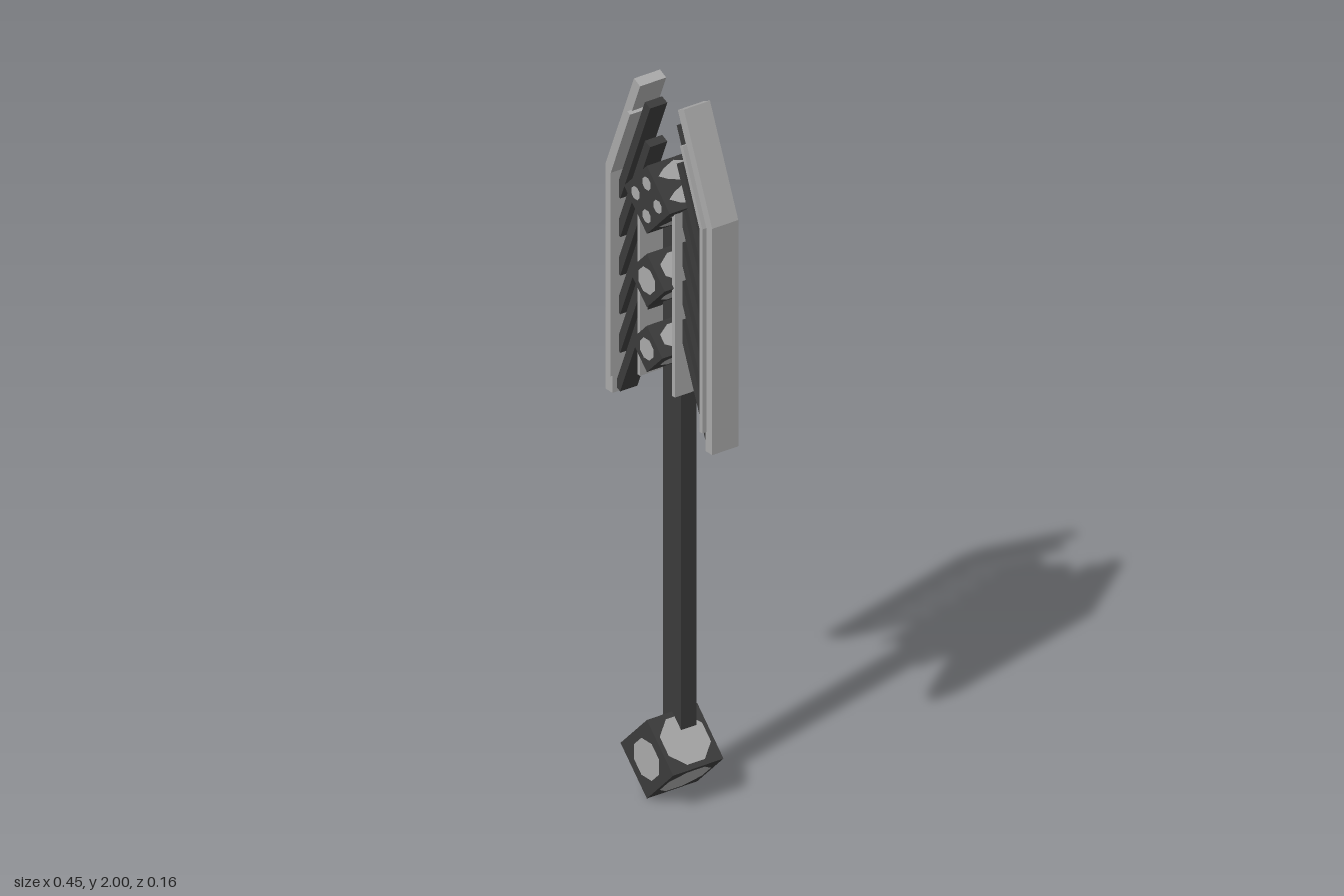
import * as THREE from 'three';

const dark = new THREE.MeshStandardMaterial({ color: 0x3b3b3b });
dark.name = 'dark metal';
const light = new THREE.MeshStandardMaterial({ color: 0xa9a9a9 });
light.name = 'light metal';

const DEPTH = 0.158; // front-to-back size of every block

function add(parent, name, geometry, material, x = 0, y = 0, z = 0) {
  const mesh = new THREE.Mesh(geometry, material);
  mesh.name = name;
  mesh.position.set(x, y, z);
  parent.add(mesh);
  return mesh;
}

// Closed outline extruded symmetrically about z = 0; side mirrors it in x
function extruded(points, depth, side) {
  const shape = new THREE.Shape(points.map(([x, y]) => new THREE.Vector2(x * side, y)));
  const geometry = new THREE.ExtrudeGeometry(shape, { depth, bevelEnabled: false });
  return geometry.translate(0, 0, -depth / 2);
}

// Flat octagonal inlay facing +z, stretched to rx by ry
function inlay(rx, ry) {
  return new THREE.CircleGeometry(1, 8, Math.PI / 8).scale(rx, ry, 1);
}

// Pointed lens-shaped inlay facing +z, long in y
function lens(w, h) {
  const outline = [[0, -h], [w * 0.55, -h * 0.6], [w, 0], [w * 0.55, h * 0.6],
    [0, h], [-w * 0.55, h * 0.6], [-w, 0], [-w * 0.55, -h * 0.6]];
  return new THREE.ShapeGeometry(new THREE.Shape(outline.map(([x, y]) => new THREE.Vector2(x, y))));
}

// Block standing on its edge, with inlays on all six faces
function diamondBlock(name, y, halfDiagonal, frontInlays, sideInlays) {
  const block = new THREE.Group();
  block.name = name;
  block.position.y = y;
  block.rotation.z = Math.PI / 4;
  const size = halfDiagonal * Math.SQRT2;
  add(block, name + 'Body', new THREE.BoxGeometry(size, size, DEPTH), dark);
  // front and back
  for (let i = 0; i < 2; i++) {
    const face = new THREE.Group();
    face.name = name + (i ? 'BackInlays' : 'FrontInlays');
    face.rotation.y = i * Math.PI;
    for (const [x, v, r] of frontInlays) add(face, 'inlay', inlay(r, r), light, x, v, DEPTH / 2 + 0.001);
    block.add(face);
  }
  // four slanted sides
  for (let i = 0; i < 4; i++) {
    const turn = new THREE.Group();
    turn.name = name + 'SideInlays';
    turn.rotation.z = i * Math.PI / 2;
    const face = new THREE.Group();
    face.rotation.y = Math.PI / 2;
    face.position.x = size / 2 + 0.001;
    for (const [geometry, u, v] of sideInlays) add(face, 'sideInlay', geometry, light, u, v, 0);
    turn.add(face);
    block.add(turn);
  }
  return block;
}

// One half of the head: bent outer plate, liner, slats and inner plate
function wing(side) {
  const group = new THREE.Group();
  group.name = side > 0 ? 'leftWing' : 'rightWing';
  add(group, 'outerPlate', extruded([
    [0.197, 1.065], [0.226, 1.065], [0.226, 1.71], [0.106, 2.0], [0.08, 1.988], [0.197, 1.703],
  ], 0.082, side), light);
  add(group, 'linerPlate', extruded([
    [0.188, 1.12], [0.201, 1.12], [0.201, 1.702], [0.118, 1.905], [0.106, 1.9], [0.188, 1.7],
  ], 0.107, side), light);
  add(group, 'innerPlate', new THREE.BoxGeometry(0.012, 0.555, 0.1), light, side * 0.074, 1.448, 0);
  for (let i = 0; i < 6; i++) {
    const slat = add(group, 'slat', new THREE.BoxGeometry(0.024, 0.335, 0.054), dark,
      side * 0.131, 1.78 - i * 0.11, 0);
    slat.rotation.z = side * 0.39;
  }
  return group;
}

export function createModel() {
  const model = new THREE.Group();
  model.name = 'mace';

  // Shaft, set behind the centre line
  add(model, 'shaft', new THREE.BoxGeometry(0.078, 1.53, 0.048), dark, 0, 0.955, -0.024);

  // Pommel and the two lower head blocks
  model.add(diamondBlock('pommel', 0.115, 0.112, [[0, 0, 0.057]], [[inlay(0.072, 0.07), 0, 0]]));
  model.add(diamondBlock('lowerBlock', 1.285, 0.066, [[0, 0, 0.031]], [[inlay(0.06, 0.036), 0, 0]]));
  model.add(diamondBlock('middleBlock', 1.48, 0.076, [[0, 0, 0.038]], [[inlay(0.062, 0.042), 0, 0]]));

  // Top block with four studs on the front and back
  const d = 0.033;
  const lensAcross = lens(0.028, 0.062).rotateZ(Math.PI / 2);
  model.add(diamondBlock('topBlock', 1.71, 0.097,
    [[d, d, 0.019], [-d, d, 0.019], [d, -d, 0.019], [-d, -d, 0.019]],
    [[lensAcross, 0, d], [lensAcross, 0, -d]]));

  for (const side of [1, -1]) model.add(wing(side));
  return model;
}
